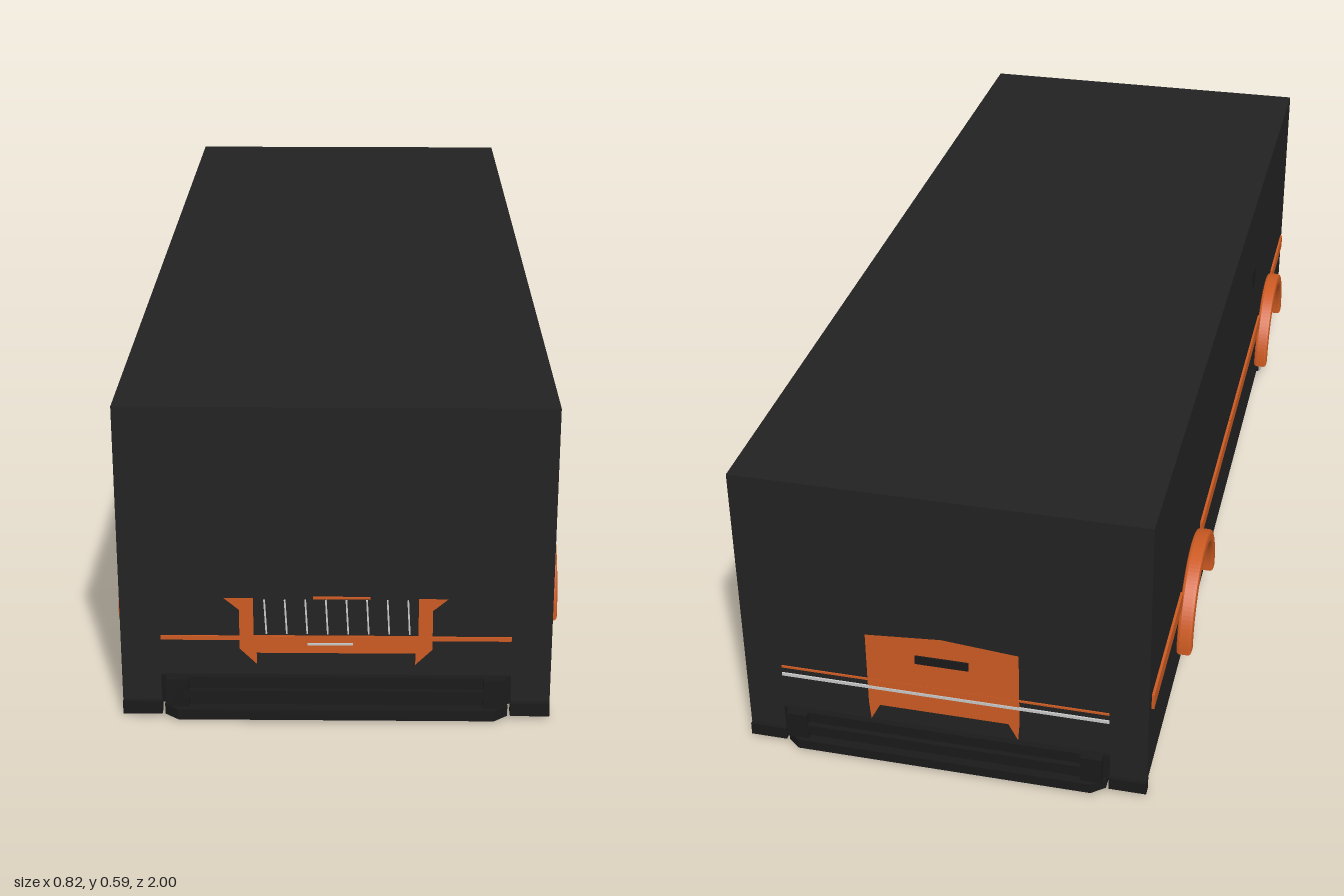
import * as THREE from 'three';

const mat = (name, color, side = THREE.FrontSide) => {
  const m = new THREE.MeshStandardMaterial({ color, side });
  m.name = name;
  return m;
};

export function createModel() {
  const model = new THREE.Group();
  model.name = 'boxedVehicle';
  const shell = mat('shell charcoal', 0x222222);
  const trim = mat('trim black', 0x1a1a1a);
  const orange = mat('body orange', 0xcc5a22, THREE.DoubleSide);
  const silver = mat('silver', 0xc8c8c8, THREE.DoubleSide);

  const add = (name, geo, material, x = 0, y = 0, z = 0) => {
    const mesh = new THREE.Mesh(geo, material);
    mesh.name = name;
    mesh.position.set(x, y, z);
    model.add(mesh);
    return mesh;
  };
  const box = (name, w, h, d, material, x, y, z) =>
    add(name, new THREE.BoxGeometry(w, h, d), material, x, y, z);
  const poly = (pts) => new THREE.Shape(pts.map(([x, y]) => new THREE.Vector2(x, y)));

  // closed shell
  box('shell', 0.76, 0.558, 1.952, shell, 0, 0.316, 0);

  // underside: orange floor with a dark triangular panel
  const floor = add('floor', new THREE.PlaneGeometry(0.72, 1.86), orange, 0, 0.033, 0);
  floor.rotation.x = Math.PI / 2;
  const panel = add('floorPanel', new THREE.ShapeGeometry(
    poly([[-0.05, 0.8], [0.27, -0.76], [-0.31, -0.7]])), trim, 0, 0.03, 0);
  panel.rotation.x = Math.PI / 2;

  // half-ring wheel arch outline
  const archShape = new THREE.Shape();
  archShape.absarc(0, 0, 0.148, 0, Math.PI, false);
  archShape.absarc(0, 0, 0.134, Math.PI, 0, true);
  archShape.closePath();
  const archGeo = new THREE.ExtrudeGeometry(archShape, {
    depth: 0.018, bevelEnabled: true, bevelThickness: 0.006, bevelSize: 0.006,
    bevelSegments: 2, curveSegments: 28,
  });
  archGeo.translate(0, 0, -0.009);
  archGeo.rotateY(Math.PI / 2);

  const tyreGeo = new THREE.CylinderGeometry(0.092, 0.092, 0.075, 40);
  tyreGeo.rotateZ(Math.PI / 2);
  const rimGeo = new THREE.RingGeometry(0.074, 0.091, 48);

  // orange sill wedges: [z start, z end, z tip]
  const wedges = [[0.75, 0.82, 0.91], [0.41, 0.46, 0.49], [-0.29, -0.37, -0.4], [-0.65, -0.73, -0.78]];

  for (const s of [1, -1]) {
    const side = s > 0 ? 'left' : 'right';
    for (const [end, z] of [['Front', 0.62], ['Rear', -0.52]]) {
      add(side + end + 'Tyre', tyreGeo, trim, s * 0.342, 0.097, z);
      const rim = add(side + end + 'Rim', rimGeo, silver, s * 0.384, 0.097, z);
      rim.rotation.y = s * Math.PI / 2;
      add(side + end + 'Arch', archGeo, orange, s * 0.395, 0.1, z);
    }
    // waist stripe broken around the arches
    for (const [a, b] of [[0.95, 0.74], [0.5, 0.003], [-0.003, -0.4], [-0.64, -0.95]]) {
      box(side + 'Stripe', 0.008, 0.032, a - b, orange, s * 0.381, 0.202, (a + b) / 2);
    }
    box(side + 'FillerCap', 0.006, 0.045, 0.036, trim, s * 0.381, 0.41, 0.325);
    // sills between the wheels
    box(side + 'Sill', 0.06, 0.024, 0.7, trim, s * 0.34, 0.026, 0.06);
    for (const [a, b, tip] of wedges) {
      const g = new THREE.ExtrudeGeometry(
        poly([[-a, 0.036], [-a, 0.014], [-b, 0.014], [-tip, 0.036]]),
        { depth: 0.06, bevelEnabled: false });
      g.rotateY(Math.PI / 2);
      add(side + 'SillWedge', g, orange, s * 0.335 - 0.03, 0, 0);
    }
  }

  // bumpers, with tapered ends in plan
  const slab = (name, half, y0, y1, z1, s) => {
    const g = new THREE.ExtrudeGeometry(
      poly([[-half, 0.95], [half, 0.95], [half, 0.98], [half - 0.025, z1], [0.025 - half, z1], [-half, 0.98]]),
      { depth: y1 - y0, bevelEnabled: false });
    g.rotateX(Math.PI / 2);
    const m = add(name, g, trim, 0, y1, 0);
    if (s < 0) m.rotation.y = Math.PI;
  };
  for (const [end, s] of [['front', 1], ['rear', -1]]) {
    slab(end + 'BumperLip', 0.305, 0.01, 0.03, 1, s);
    slab(end + 'Bumper', 0.31, 0.035, 0.089, 0.988, s);
    box(end + 'BumperBar', 0.54, 0.014, 0.02, trim, 0, 0.06, s * 0.988);
    for (const x of [-1, 1]) {
      box(end + 'BumperBlock', 0.04, 0.054, 0.02, trim, x * 0.28, 0.062, s * 0.988);
      box(end + 'CornerGuard', 0.07, 0.025, 0.02, trim, x * 0.345, 0.023, s * 0.972);
    }
  }

  // front graphic: grille surround, waist line and slats
  const zf = 0.978;
  add('grilleSurround', new THREE.ShapeGeometry(poly([
    [-0.197, 0.239], [-0.17, 0.216], [-0.17, 0.14], [-0.14, 0.11], [-0.14, 0.132],
    [0.14, 0.132], [0.14, 0.11], [0.17, 0.14], [0.17, 0.216], [0.197, 0.239],
    [0.145, 0.239], [0.145, 0.167], [-0.145, 0.167], [-0.145, 0.239],
  ])), orange, 0, 0, zf);
  box('frontLine', 0.618, 0.008, 0.003, orange, 0, 0.161, zf - 0.001);
  box('grilleTopLine', 0.1, 0.004, 0.003, orange, 0.01, 0.24, zf);
  for (let i = 0; i < 8; i++) {
    const slat = box('grilleSlat', 0.003, 0.066, 0.003, silver, -0.124 + i * 0.036, 0.203, zf);
    slat.rotation.z = 0.05;
  }
  box('frontAccent', 0.08, 0.004, 0.003, silver, -0.01, 0.15, zf);

  // rear graphic: tail plate with notch, waist lines
  const plate = add('tailPlate', new THREE.ShapeGeometry(poly([
    [-0.143, 0.285], [-0.143, 0.13], [-0.14, 0.09], [-0.122, 0.125], [0.122, 0.125],
    [0.14, 0.09], [0.143, 0.13], [0.143, 0.285], [0, 0.297],
  ])), orange, 0, 0, -zf);
  plate.rotation.y = Math.PI;
  box('tailNotch', 0.1, 0.018, 0.003, trim, 0, 0.245, -zf - 0.001);
  box('rearLine', 0.618, 0.004, 0.003, orange, 0, 0.182, -zf + 0.001);
  box('rearAccent', 0.618, 0.006, 0.003, silver, 0, 0.165, -zf);

  return model;
}
